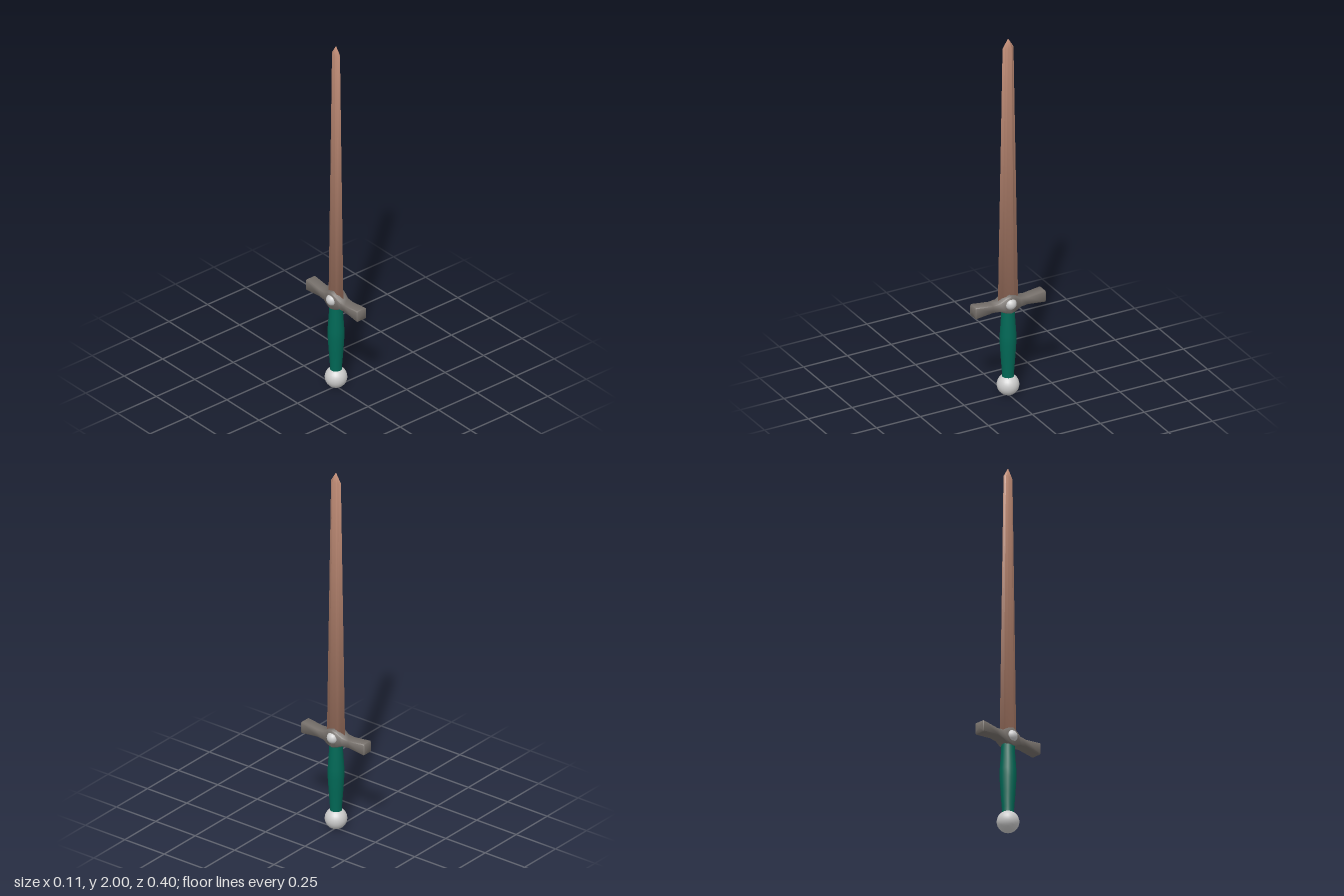
import * as THREE from 'three';
import { toCreasedNormals } from 'three/addons/utils/BufferGeometryUtils.js';

// Skin a list of equal-length rings of [x, y, z] points and cap both ends.
function loft(rings, crease) {
  const n = rings[0].length, index = [], points = rings.flat();
  for (let r = 0; r < rings.length - 1; r++) {
    for (let i = 0; i < n; i++) {
      const a = r * n + i, b = r * n + (i + 1) % n;
      index.push(a, a + n, b, b, a + n, b + n);
    }
  }
  [0, rings.length - 1].forEach((r, end) => {
    const c = points.length;
    points.push([0, 1, 2].map(k => rings[r].reduce((s, p) => s + p[k] / n, 0)));
    for (let i = 0; i < n; i++) {
      const a = r * n + i, b = r * n + (i + 1) % n;
      end ? index.push(c, b, a) : index.push(c, a, b);
    }
  });
  const geo = new THREE.BufferGeometry();
  geo.setAttribute('position', new THREE.Float32BufferAttribute(points.flat(), 3));
  geo.setIndex(index);
  return toCreasedNormals(geo, crease);
}

export function createModel() {
  const material = (name, color) => {
    const m = new THREE.MeshStandardMaterial({ color });
    m.name = name;
    return m;
  };
  const copper = material('copper', 0xc08c76);
  const iron = material('darkIron', 0x76706b);
  const green = material('greenLeather', 0x006856);
  const silver = material('silver', 0xcccccc);

  const model = new THREE.Group();
  model.name = 'sword';
  const add = (name, geo, mat, x = 0, y = 0) => {
    const mesh = new THREE.Mesh(geo, mat);
    mesh.name = name;
    mesh.position.set(x, y, 0);
    model.add(mesh);
  };

  // Blade: hollow-ground edges, raised ridges and a shallow central fuller
  const quarter = [[0, 0.058], [-0.007, 0.037], [-0.018, 0.024], [-0.015, 0.009]];
  const half = [...quarter, ...quarter.slice(1).reverse().map(([x, z]) => [x, -z])];
  const section = [...half, [0, -0.058], ...half.slice(1).reverse().map(([x, z]) => [-x, z])];
  const bladeRing = (y, sx, sz) => section.map(([x, z]) => [x * sx, y, z * sz]);
  add('blade', loft([
    bladeRing(0.5, 1, 1),
    bladeRing(1.95, 0.8, 0.54),
    bladeRing(2, 0.02, 0.02),
  ], 1.8), copper);

  // Crossguard: chamfered sections along z as [z, half width, bottom, top]
  const side = [
    [0.201, 0.027, 0.486, 0.541],
    [0.196, 0.03, 0.482, 0.545],
    [0.1, 0.03, 0.493, 0.533],
    [0.06, 0.03, 0.489, 0.537],
    [0.025, 0.035, 0.473, 0.558],
  ];
  const stations = [...side, [0, 0.038, 0.468, 0.566],
    ...side.slice().reverse().map(([z, ...rest]) => [-z, ...rest])];
  const c = 0.004;
  add('crossguard', loft(stations.map(([z, w, b, t]) => [
    [w, b + c, z], [w, t - c, z], [w - c, t, z], [c - w, t, z],
    [-w, t - c, z], [-w, b + c, z], [c - w, b, z], [w - c, b, z],
  ]), 0.9), iron);

  // Silver studs on both faces of the guard
  for (const s of [-1, 1]) {
    add(s > 0 ? 'leftStud' : 'rightStud', new THREE.SphereGeometry(0.031, 20, 14), silver, s * 0.025, 0.52);
  }

  // Grip: swelling in the middle
  const profile = [[0.031, 0.09], [0.031, 0.13], [0.037, 0.21], [0.042, 0.29],
    [0.042, 0.34], [0.036, 0.43], [0.033, 0.49]];
  add('grip', new THREE.LatheGeometry(profile.map(p => new THREE.Vector2(...p)), 16), green);

  // Pommel
  add('pommel', new THREE.SphereGeometry(0.057, 24, 16), silver, 0, 0.057);
  return model;
}
